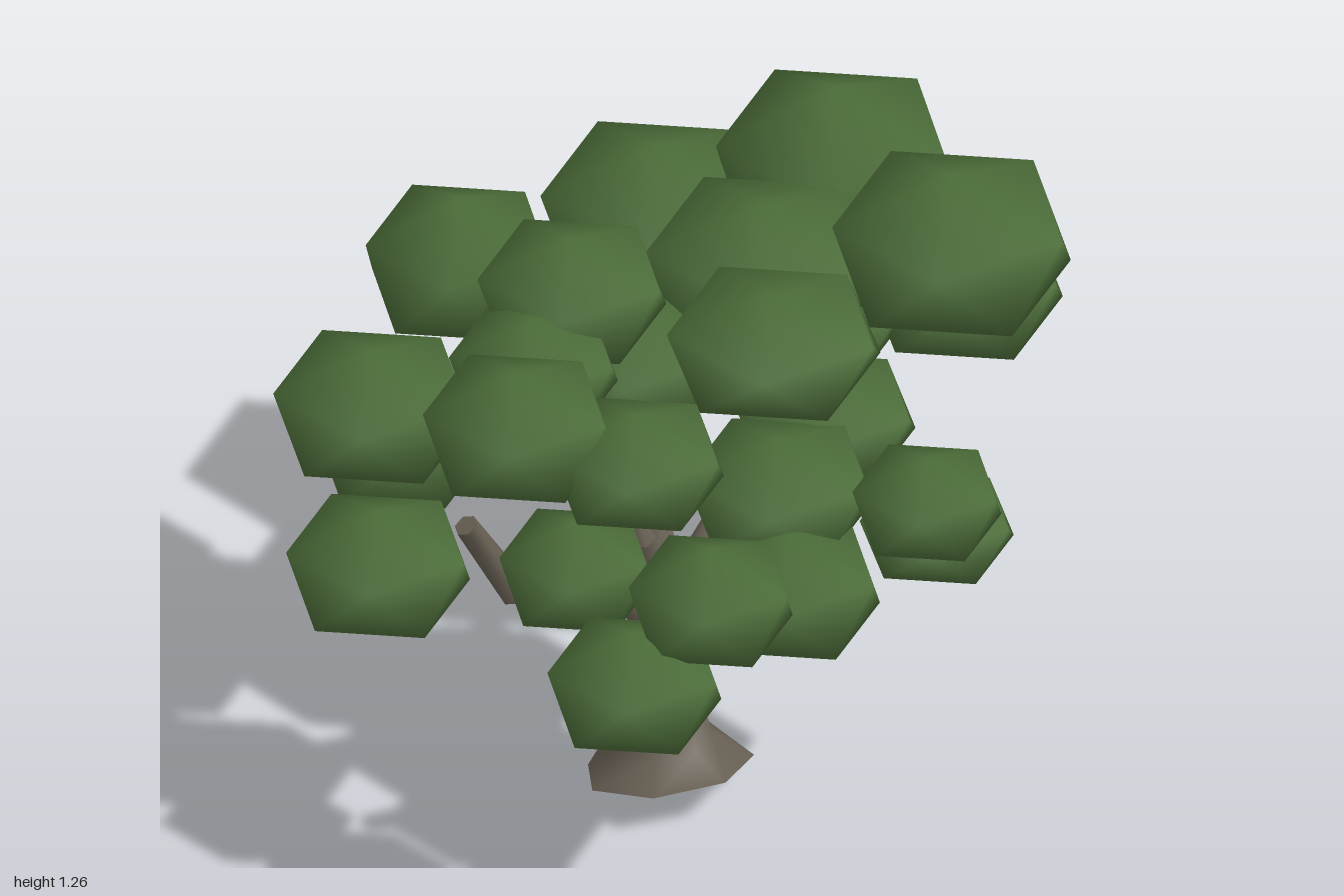
import * as THREE from 'three';

const bark = new THREE.MeshStandardMaterial({ color: 0x675f53 });
bark.name = 'bark';
const leaves = new THREE.MeshStandardMaterial({ color: 0x4b6c38 });
leaves.name = 'leaves';

// Smooth tapered limb through rings [x, y, z, radius], capped at both ends.
// tilt(x, z) optionally raises or lowers the vertices of the first ring.
function limb(name, rings, sides, tilt) {
  const pos = [], idx = [];
  const pts = rings.map(r => new THREE.Vector3(r[0], r[1], r[2]));
  const n = rings.length;
  const ref = new THREE.Vector3(0.03, 0.05, 1);
  for (let i = 0; i < n; i++) {
    const dir = pts[Math.min(i + 1, n - 1)].clone().sub(pts[Math.max(i - 1, 0)]).normalize();
    if (tilt) dir.set(0, 1, 0);
    const u = new THREE.Vector3().crossVectors(dir, Math.abs(dir.z) > 0.9 ? new THREE.Vector3(1, 0, 0) : ref).normalize();
    const v = new THREE.Vector3().crossVectors(u, dir);
    for (let j = 0; j < sides; j++) {
      const a = Math.PI + j / sides * Math.PI * 2;
      const p = pts[i].clone().addScaledVector(u, Math.cos(a) * rings[i][3]).addScaledVector(v, Math.sin(a) * rings[i][3]);
      if (tilt && i === 0) p.y += tilt(p.x - pts[0].x, p.z - pts[0].z);
      pos.push(p.x, p.y, p.z);
    }
  }
  for (let i = 0; i < n - 1; i++) {
    for (let j = 0; j < sides; j++) {
      const a = i * sides + j, b = i * sides + (j + 1) % sides;
      idx.push(a, a + sides, b, b, a + sides, b + sides);
    }
  }
  // separate cap vertices keep the ends sharp
  for (const end of [0, n - 1]) {
    const start = pos.length / 3;
    for (let j = 0; j < sides; j++) {
      const k = (end * sides + j) * 3;
      pos.push(pos[k], pos[k + 1], pos[k + 2]);
    }
    for (let j = 1; j < sides - 1; j++) {
      if (end === 0) idx.push(start, start + j, start + j + 1);
      else idx.push(start, start + j + 1, start + j);
    }
  }
  const g = new THREE.BufferGeometry();
  g.setAttribute('position', new THREE.Float32BufferAttribute(pos, 3));
  g.setIndex(idx);
  g.computeVertexNormals();
  const m = new THREE.Mesh(g, bark);
  m.name = name;
  return m;
}

// Leaf clumps: centre x, y, z, horizontal radius, half height
const upperClumps = [
  [-0.16, 1.10, 0.48, 0.19, 0.14],
  [0.37, 1.095, -0.46, 0.24, 0.17],
  [-0.56, 0.99, -0.13, 0.19, 0.16],
  [-0.50, 1.02, 0.43, 0.20, 0.14],
  [0.20, 1.12, 0.03, 0.215, 0.12],
  [-0.27, 1.07, -0.03, 0.19, 0.13],
  [-0.26, 1.02, 0.18, 0.17, 0.12],
  [0.08, 1.05, 0.43, 0.175, 0.12],
  [0.00, 0.99, -0.37, 0.24, 0.15],
  [-0.02, 0.97, -0.76, 0.24, 0.2],
];
const lowerClumps = [
  [-0.335, 0.90, 0.77, 0.185, 0.135],
  [0.35, 0.95, 0.67, 0.165, 0.13],
  [0.25, 0.81, 0.82, 0.175, 0.13],
  [0.01, 0.86, 0.57, 0.155, 0.12],
  [-0.51, 0.83, 0.27, 0.175, 0.13],
  [0.595, 0.93, 0.16, 0.15, 0.11],
  [0.54, 0.74, -0.01, 0.155, 0.09],
  [0.39, 0.795, 0.37, 0.18, 0.135],
  [0.29, 0.90, 0.20, 0.19, 0.12],
  [0.27, 0.78, -0.74, 0.20, 0.13],
  [-0.33, 0.89, -0.58, 0.235, 0.16],
  [-0.03, 0.76, -0.56, 0.24, 0.13],
  [0.27, 0.89, -0.07, 0.18, 0.11],
  [-0.16, 0.90, -0.10, 0.20, 0.12],
];

// Branches: lower curved limb and thinner angled tip
const branches = [
  [[[0, 0.41, 0.09, 0.045], [-0.06, 0.49, 0.14, 0.044], [-0.13, 0.55, 0.2, 0.038], [-0.23, 0.575, 0.31, 0.03]],
    [[-0.235, 0.57, 0.32, 0.034], [-0.3, 0.78, 0.42, 0.025]]],
  [[[0, 0.41, 0.08, 0.045], [0.06, 0.48, 0.09, 0.044], [0.12, 0.53, 0.1, 0.036], [0.215, 0.54, 0.12, 0.027]],
    [[0.22, 0.54, 0.12, 0.028], [0.3, 0.70, 0.13, 0.025]]],
  [[[0, 0.42, 0.07, 0.045], [-0.04, 0.52, 0.04, 0.042], [-0.08, 0.59, 0, 0.036], [-0.14, 0.65, -0.06, 0.032]],
    [[-0.14, 0.64, -0.06, 0.033], [-0.18, 0.8, -0.1, 0.026]]],
  [[[0, 0.41, 0.09, 0.045], [0.03, 0.49, 0.15, 0.044], [0.06, 0.55, 0.24, 0.038], [0.09, 0.57, 0.36, 0.03]],
    [[0.09, 0.56, 0.36, 0.034], [0.13, 0.75, 0.48, 0.025]]],
  [[[0, 0.42, 0.07, 0.045], [0.03, 0.52, 0.02, 0.042], [0.05, 0.59, -0.07, 0.036], [0.06, 0.63, -0.16, 0.03]],
    [[0.06, 0.62, -0.16, 0.032], [0.09, 0.80, -0.24, 0.025]]],
  [[[0, 0.41, 0.08, 0.04], [-0.02, 0.52, 0.09, 0.036], [-0.05, 0.61, 0.1, 0.03]],
    [[-0.05, 0.6, 0.1, 0.028], [-0.09, 0.69, 0.1, 0.022]]],
];

export function createModel() {
  const tree = new THREE.Group();
  tree.name = 'tree';

  // Trunk with a flared base cut at a slant
  tree.add(limb('trunk', [
    [-0.005, 0.055, 0.09, 0.173],
    [-0.025, 0.125, 0.075, 0.1],
    [-0.045, 0.25, 0.058, 0.074],
    [-0.03, 0.35, 0.068, 0.06],
    [-0.008, 0.44, 0.08, 0.045],
  ], 7, (x, z) => 0.25 * x + 0.2 * z));

  branches.forEach(([low, tip]) => {
    const g = new THREE.Group();
    g.name = 'branch';
    g.add(limb('branchBase', low, 6), limb('branchTip', tip, 6));
    tree.add(g);
  });

  // Flattened smooth icosahedra standing on a corner
  const ball = new THREE.IcosahedronGeometry(1, 0);
  ball.rotateX(-Math.atan((1 + Math.sqrt(5)) / 2));
  ball.rotateY(Math.PI / 2);
  ball.setAttribute('normal', ball.getAttribute('position').clone());
  const widen = 1 / 0.88;
  [['upperCanopy', upperClumps], ['lowerCanopy', lowerClumps]].forEach(([name, list]) => {
    const canopy = new THREE.Group();
    canopy.name = name;
    list.forEach(([x, y, z, r, h]) => {
      const m = new THREE.Mesh(ball, leaves);
      m.name = 'leafClump';
      m.position.set(x, y, z);
      m.scale.set(r * widen, h, r * widen);
      canopy.add(m);
    });
    tree.add(canopy);
  });
  return tree;
}
